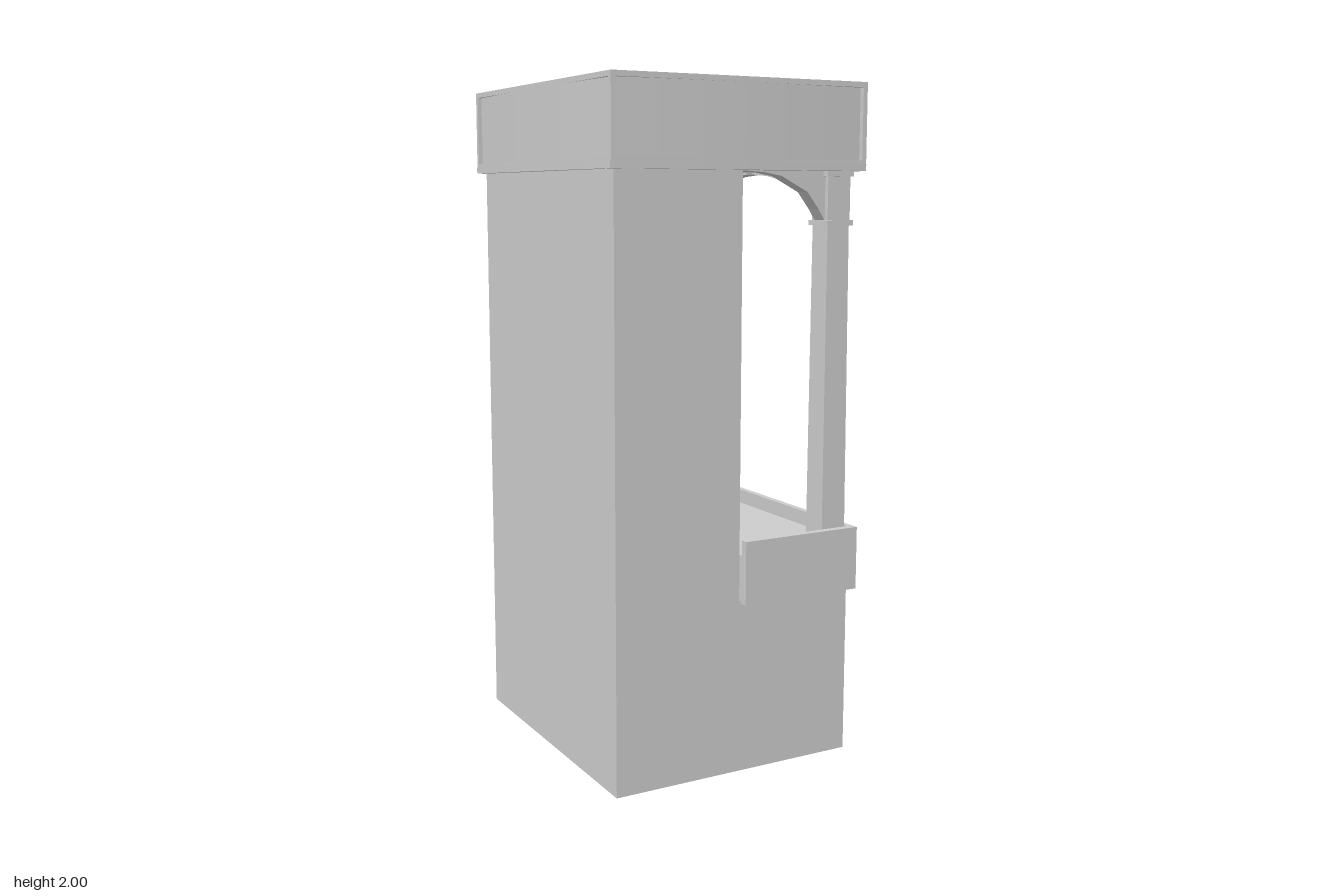
import * as THREE from 'three';

const material = new THREE.MeshStandardMaterial({ color: 0xcccccc, flatShading: true });

export function createModel() {
  const model = new THREE.Group();

  const add = (name, geometry) => {
    const mesh = new THREE.Mesh(geometry, material);
    mesh.name = name;
    model.add(mesh);
    return mesh;
  };

  // Box given by its limits on each axis
  const box = (name, x0, x1, y0, y1, z0, z1) => {
    const mesh = add(name, new THREE.BoxGeometry(x1 - x0, y1 - y0, z1 - z0));
    mesh.position.set((x0 + x1) / 2, (y0 + y1) / 2, (z0 + z1) / 2);
    return mesh;
  };

  const toShape = (points) => new THREE.Shape(points.map(([x, y]) => new THREE.Vector2(x, y)));
  const extrude = (shape, depth) => new THREE.ExtrudeGeometry(shape, { depth, bevelEnabled: false });

  // Rectangle seen from above whose sides bow out by the given amount
  const bowed = (hx, hz, bow) => {
    const corners = [[hx, -hz], [hx, hz], [-hx, hz], [-hx, -hz]];
    const points = [];
    corners.forEach(([x, z], i) => {
      const [x2, z2] = corners[(i + 1) % 4];
      for (let k = 0; k < 6; k++) {
        const t = k / 6, out = bow * 4 * t * (1 - t);
        points.push([
          x + (x2 - x) * t + (x === x2 ? Math.sign(x) * out : 0),
          z + (z2 - z) * t + (z === z2 ? Math.sign(z) * out : 0),
        ]);
      }
    });
    return points;
  };

  // Horizontal ring with a rectangular opening
  const ring = (name, outline, ix, iz, y0, y1) => {
    const shape = toShape(outline);
    shape.holes.push(toShape([[-ix, -iz], [-ix, iz], [ix, iz], [ix, -iz]]));
    const geometry = extrude(shape, y1 - y0);
    geometry.rotateX(-Math.PI / 2);
    add(name, geometry).position.y = y0;
  };

  // Hollow cabin, open towards +x above the counter
  box('cabinBackWall', -0.39, -0.34, 0, 1.75, -0.45, 0.45);
  for (const s of [-1, 1]) {
    box('cabinSideWall', -0.34, 0.01, 0, 1.75, s > 0 ? 0.43 : -0.45, s > 0 ? 0.45 : -0.43);
  }
  box('cabinFloor', -0.34, 0.01, 0, 0.05, -0.43, 0.43);
  box('cabinCeiling', -0.34, 0.01, 1.72, 1.75, -0.43, 0.43);

  // Counter with a raised rim on three sides
  box('counterBase', 0.01, 0.39, 0, 0.52, -0.45, 0.45);
  box('counterTop', 0.015, 0.39, 0.51, 0.655, -0.46, 0.46);
  box('counterFrontRim', 0.385, 0.405, 0.51, 0.7, -0.478, 0.478);
  for (const s of [-1, 1]) {
    box('counterSideRim', 0.015, 0.385, 0.51, 0.7, s > 0 ? 0.455 : -0.478, s > 0 ? 0.478 : -0.455);
  }

  // Half arch between cabin and column
  const halfArch = [
    [0.31, 1.61], [0.31, 1.76], [0.01, 1.76], [0.01, 1.75],
    [0.09, 1.745], [0.15, 1.735], [0.24, 1.69], [0.28, 1.64], [0.3, 1.61],
  ];

  for (const s of [-1, 1]) {
    const z = s * 0.406;
    // Square column, slightly thicker at the foot
    const shaft = new THREE.CylinderGeometry(0.037 * Math.SQRT2, 0.041 * Math.SQRT2, 1.1, 4);
    shaft.rotateY(Math.PI / 4);
    add('column', shaft).position.set(0.34, 1.2, z);
    box('columnNeckBand', 0.294, 0.386, 1.595, 1.61, z - 0.046, z + 0.046);
    box('columnCapital', 0.301, 0.379, 1.61, 1.74, z - 0.039, z + 0.039);
    box('columnCap', 0.294, 0.386, 1.735, 1.76, z - 0.046, z + 0.046);
    add('sideArch', extrude(toShape(halfArch), 0.05)).position.z = z - 0.025;
  }

  // Wide arch between the two columns
  const wide = [[0.375, 1.61], [0.375, 1.76], [-0.375, 1.76], [-0.375, 1.61]];
  for (const [u, y] of [[-0.366, 1.61], [-0.34, 1.64], [-0.27, 1.69], [-0.19, 1.725], [-0.1, 1.74],
    [0, 1.747], [0.1, 1.74], [0.19, 1.725], [0.27, 1.69], [0.34, 1.64], [0.366, 1.61]]) wide.push([u, y]);
  const wideArch = extrude(toShape(wide), 0.05);
  wideArch.rotateY(Math.PI / 2);
  add('frontArch', wideArch).position.x = 0.315;

  // Roof: cornice, gently bowed fascia, frame and sunken deck
  ring('cornice', bowed(0.412, 0.475, 0.011), 0.3, 0.3, 1.75, 1.77);
  ring('fascia', bowed(0.398, 0.462, 0.0145), 0.387, 0.455, 1.77, 1.99);
  ring('fasciaBottomFrame', bowed(0.41, 0.477, 0), 0.387, 0.455, 1.765, 1.78);
  ring('fasciaTopFrame', bowed(0.41, 0.477, 0), 0.387, 0.455, 1.985, 2);
  for (const sx of [-1, 1]) {
    for (const sz of [-1, 1]) {
      const x = sx * 0.403, z = sz * 0.4695;
      box('fasciaCornerPost', x - 0.007, x + 0.007, 1.77, 1.99, z - 0.0075, z + 0.0075);
    }
  }
  box('roofDeck', -0.388, 0.388, 1.752, 1.945, -0.456, 0.456);

  // Shallow curved segment low on the fascia above the wide arch
  const segment = [];
  for (let i = 0; i <= 12; i++) {
    const u = 0.4 - (0.8 * i) / 12;
    segment.push([u, 1.78 + 0.062 * (1 - (u / 0.4) ** 2)]);
  }
  const eyebrow = extrude(toShape(segment), 0.02);
  eyebrow.rotateY(Math.PI / 2);
  add('fasciaArchTrim', eyebrow).position.x = 0.395;

  return model;
}
